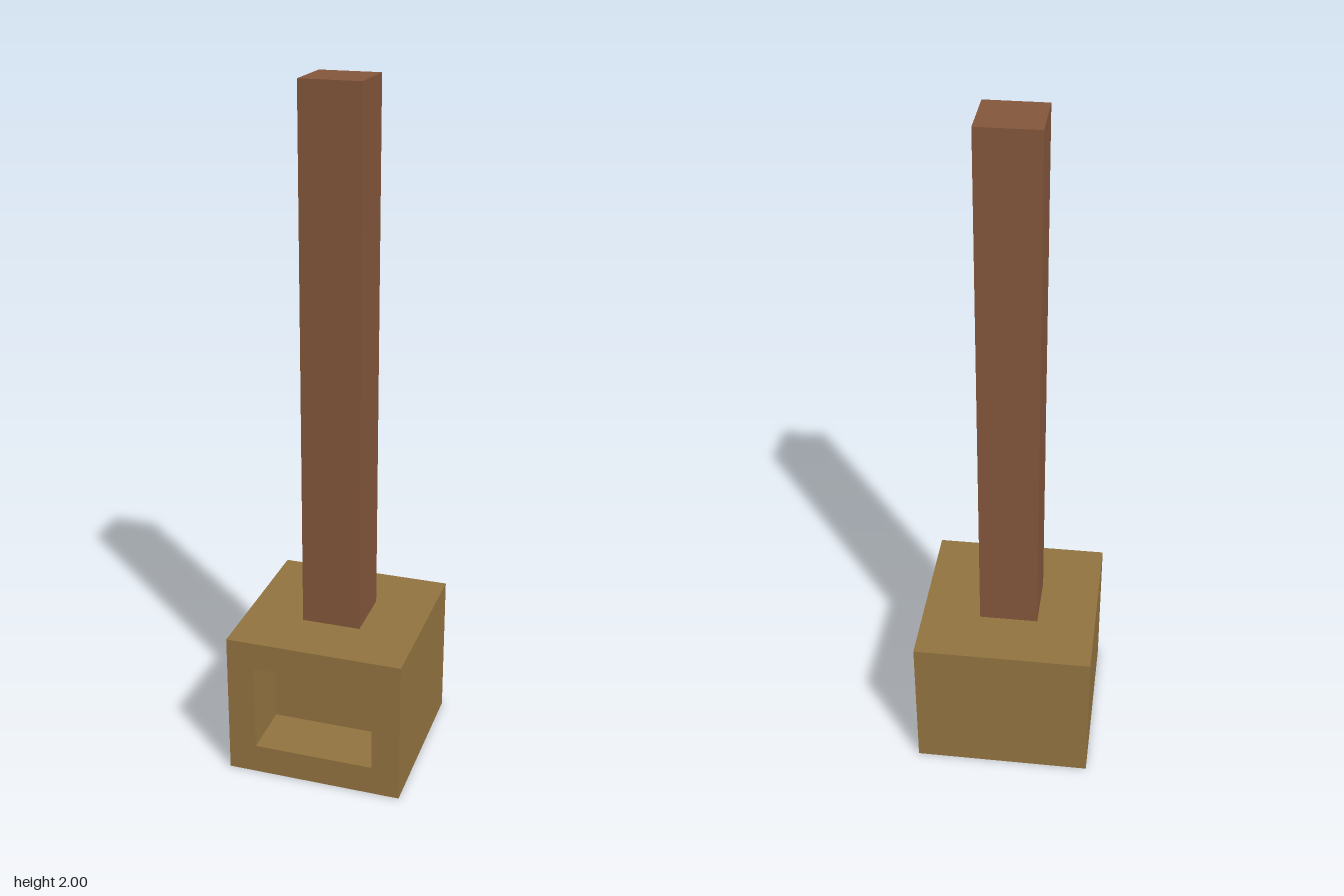
import * as THREE from 'three';

const W = 0.522, H = 0.435, POST = 0.174, DEPTH = 0.174;

// Closed rectangle outline, usable as a shape or a hole
function rect(Type, x0, y0, x1, y1) {
  const p = new Type();
  p.moveTo(x0, y0);
  p.lineTo(x1, y0);
  p.lineTo(x1, y1);
  p.lineTo(x0, y1);
  p.closePath();
  return p;
}

export function createModel() {
  const group = new THREE.Group();
  const ochreWood = new THREE.MeshStandardMaterial({ name: 'ochreWood', color: 0x927340 });
  const brownWood = new THREE.MeshStandardMaterial({ name: 'brownWood', color: 0x83563b });

  const add = (name, geometry, material, x, y, z) => {
    const mesh = new THREE.Mesh(geometry, material);
    mesh.name = name;
    mesh.position.set(x, y, z);
    group.add(mesh);
  };

  // Solid rear of the block; its front face is the floor of the recess
  const rear = W - DEPTH;
  add('blockBody', new THREE.BoxGeometry(W, H, rear), ochreWood, 0, H / 2, -W / 2 + rear / 2);

  // Front of the block with the rectangular recess cut through it
  const face = rect(THREE.Shape, -W / 2, 0, W / 2, H);
  face.holes.push(rect(THREE.Path, -0.178, 0.088, 0.178, 0.353));
  const frame = new THREE.ExtrudeGeometry(face, { depth: DEPTH, bevelEnabled: false });
  add('recessFrame', frame, ochreWood, 0, 0, W / 2 - DEPTH);

  // Square post standing on the block
  add('post', new THREE.BoxGeometry(POST, 2 - H, POST), brownWood, 0, (2 + H) / 2, 0);

  return group;
}
